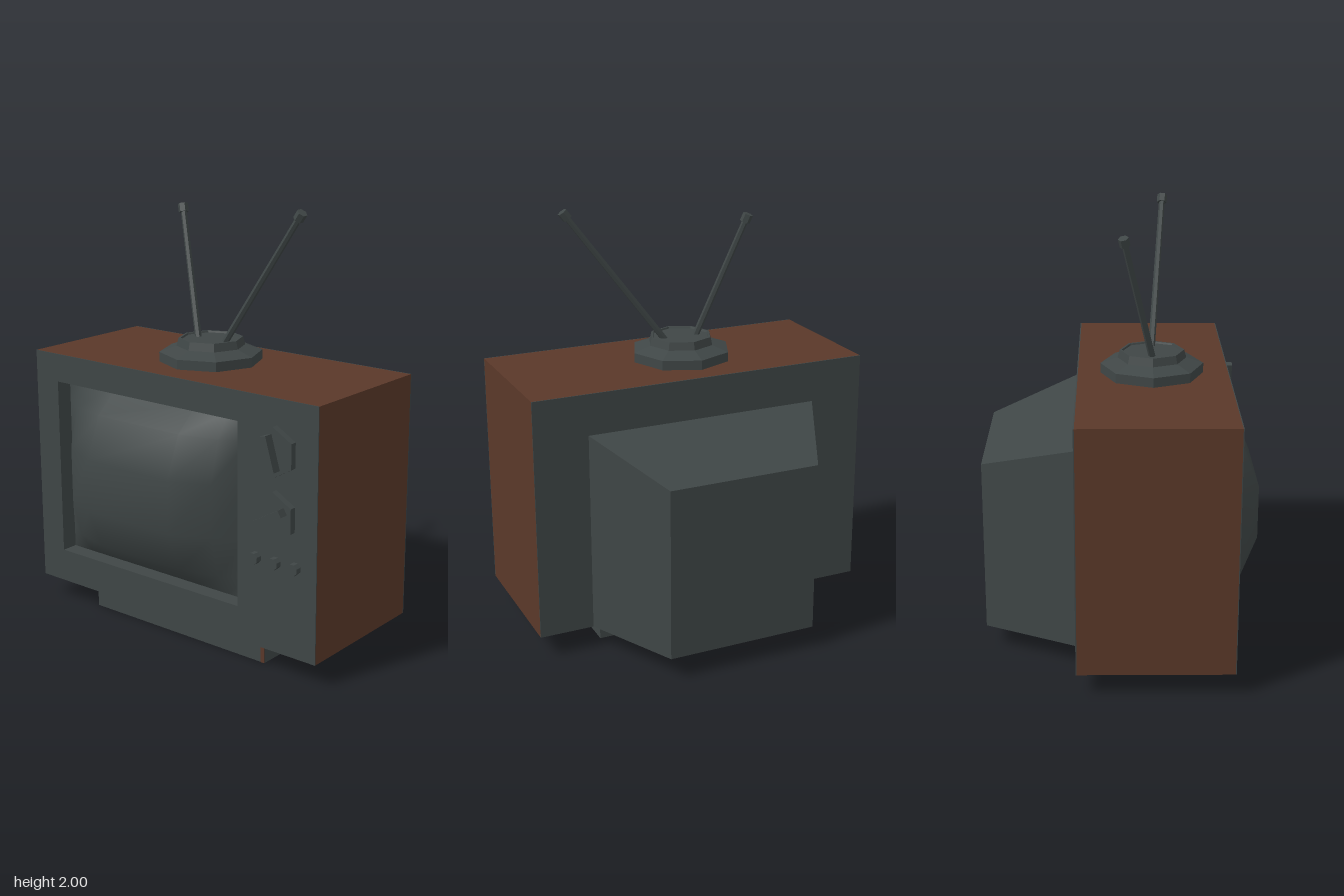
import * as THREE from 'three';

const dark = new THREE.MeshStandardMaterial({ name: 'charcoalPlastic', color: 0x3f4646 });
const wood = new THREE.MeshStandardMaterial({ name: 'brownWood', color: 0x5a3829 });

export function createModel() {
  const model = new THREE.Group();

  const add = (name, geometry, material, x = 0, y = 0, z = 0) => {
    const mesh = new THREE.Mesh(geometry, material);
    mesh.name = name;
    mesh.position.set(x, y, z);
    model.add(mesh);
    return mesh;
  };
  const box = (name, material, x0, x1, y0, y1, z0, z1) =>
    add(name, new THREE.BoxGeometry(x1 - x0, y1 - y0, z1 - z0), material,
      (x0 + x1) / 2, (y0 + y1) / 2, (z0 + z1) / 2);
  const corners = (x0, x1, y0, y1) => [[x0, y0], [x1, y0], [x1, y1], [x0, y1]]
    .map(([x, y]) => new THREE.Vector2(x, y));
  // Rectangular plate with a rectangular hole, extruded from z0 to z1
  const frame = (name, material, outer, hole, z0, z1) => {
    const shape = new THREE.Shape(corners(...outer));
    shape.holes.push(new THREE.Path(corners(...hole)));
    add(name, new THREE.ExtrudeGeometry(shape, { depth: z1 - z0, bevelEnabled: false }), material, 0, 0, z0);
  };
  // Faceted turned part, flat shaded without extra materials
  const facet = (geometry) => {
    const flat = geometry.index ? geometry.toNonIndexed() : geometry;
    flat.computeVertexNormals();
    return flat;
  };

  // Cabinet: wooden shell, front panel with screen opening, back panel
  const opening = [-0.69, 0.405, 0.265, 1.12];
  const outline = [-0.83, 0.83, 0.105, 1.255];
  frame('cabinetShell', wood, outline, [-0.8, 0.8, 0.135, 1.225], -0.195, 0.506);
  frame('frontPanel', dark, outline, opening, 0.506, 0.51);
  frame('screenRecess', dark, [-0.8, 0.8, 0.135, 1.225], opening, 0.42, 0.506);
  box('backPanel', dark, -0.83, 0.83, 0.105, 1.255, -0.2, -0.195);

  // Bulging picture tube: flat centre falling off to the recess
  const columns = [-0.5475, -0.43, -0.245, 0.245, 0.43, 0.5475];
  const rows = [0.4275, 0.32, 0.125, -0.125, -0.32, -0.4275];
  const rise = [0, 0.6, 1, 1, 0.6, 0];
  const screen = new THREE.PlaneGeometry(1, 1, 5, 5);
  for (let j = 0; j < 6; j++) {
    for (let i = 0; i < 6; i++) {
      screen.attributes.position.setXYZ(j * 6 + i, columns[i], rows[j], 0.2 * rise[i] * rise[j]);
    }
  }
  screen.computeVertexNormals();
  add('screen', screen, dark, -0.1425, 0.6925, 0.43);

  // Rear housing: box narrowing and dropping toward the back
  const housing = new THREE.BoxGeometry(1.14, 0.955, 0.43);
  housing.translate(0, 0.5825, -0.415);
  const p = housing.attributes.position;
  for (let i = 0; i < p.count; i++) {
    if (p.getZ(i) < -0.5) {
      p.setX(i, Math.sign(p.getX(i)) * 0.363);
      if (p.getY(i) > 0.5) p.setY(i, 0.92);
    }
  }
  add('rearHousing', facet(housing), dark);

  // Hollow base: thin walls under the cabinet
  box('baseFront', dark, -0.515, 0.515, 0, 0.105, 0.435, 0.454);
  box('baseFrontEdge', wood, 0.495, 0.515, 0, 0.105, 0.454, 0.456);
  box('baseBack', dark, -0.515, 0.515, 0, 0.105, -0.14, -0.12);
  for (const s of [-1, 1]) {
    add('baseSide', new THREE.BoxGeometry(0.02, 0.105, 0.555), dark, s * 0.505, 0.0525, 0.1575);
  }
  box('baseInside', dark, -0.495, 0.495, 0.097, 0.105, -0.12, 0.435);

  // Hexagonal dials with grip bars
  for (const [y, angle] of [[1.025, 0.29], [0.74, -1.05]]) {
    const dial = facet(new THREE.CylinderGeometry(0.113, 0.113, 0.03, 6));
    dial.rotateX(Math.PI / 2).rotateZ(Math.PI);
    add('dial', dial, dark, 0.617, y, 0.525);
    add('dialGrip', new THREE.BoxGeometry(0.034, 0.16, 0.045), dark, 0.617, y, 0.5605).rotation.z = angle;
  }

  // Row of small buttons
  for (const x of [0.511, 0.617, 0.723]) {
    const button = facet(new THREE.CylinderGeometry(0.027, 0.027, 0.03, 8));
    button.rotateX(Math.PI / 2).rotateZ(Math.PI / 8);
    add('button', button, dark, x, 0.525, 0.525);
  }

  // Octagonal stepped antenna base
  const profile = [[0.24, 0], [0.24, 0.045], [0.16, 0.072], [0.15, 0.11], [0.14, 0.11], [0.137, 0.102], [0, 0.102]]
    .map(([r, y]) => new THREE.Vector2(r, y));
  add('antennaBase', facet(new THREE.LatheGeometry(profile, 8)), dark, -0.04, 1.255, 0.15);

  // Two rods with thicker tips
  const up = new THREE.Vector3(0, 1, 0);
  const rod = (name, a, b, r0, r1) => {
    const dir = b.clone().sub(a);
    const mid = a.clone().add(b).multiplyScalar(0.5);
    add(name, facet(new THREE.CylinderGeometry(r1, r0, dir.length(), 6)), dark, mid.x, mid.y, mid.z)
      .quaternion.setFromUnitVectors(up, dir.normalize());
  };
  for (const [from, to] of [
    [[-0.115, 1.345, 0.15], [-0.322, 1.945, 0.013]],
    [[0.04, 1.345, 0.15], [0.518, 1.987, 0.212]],
  ]) {
    const a = new THREE.Vector3(...from);
    const b = new THREE.Vector3(...to);
    const tip = b.clone().sub(b.clone().sub(a).setLength(0.04));
    rod('antennaRod', a, b, 0.016, 0.014);
    rod('antennaTip', tip, b, 0.024, 0.024);
  }

  return model;
}
